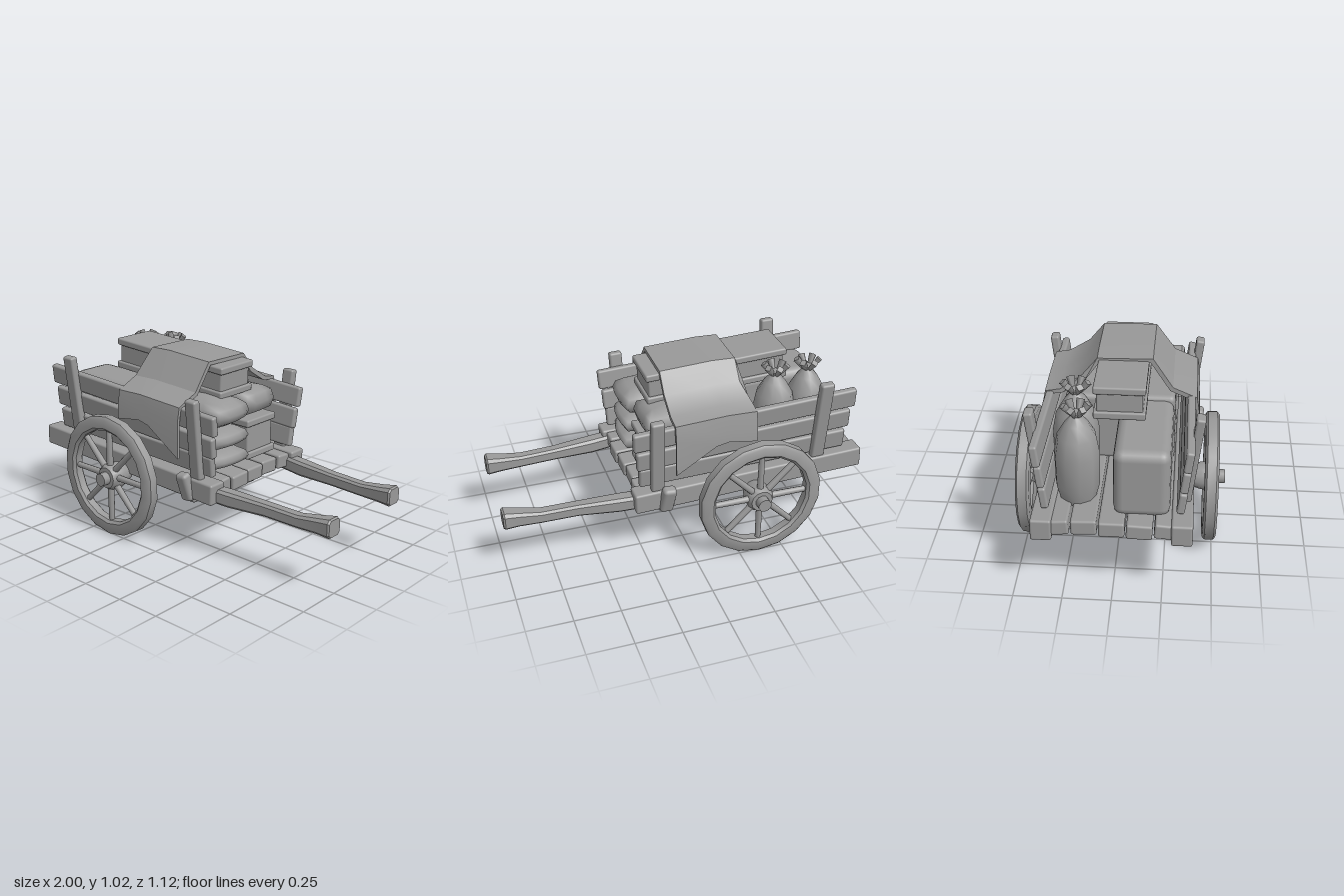
import * as THREE from 'three';
import { toCreasedNormals } from 'three/addons/utils/BufferGeometryUtils.js';
import { RoundedBoxGeometry } from 'three/addons/geometries/RoundedBoxGeometry.js';

const clay = new THREE.MeshStandardMaterial({ color: 0x999999 });
clay.name = 'plain grey';

export function createModel() {
  const cart = new THREE.Group();
  cart.name = 'handcart';

  function add(name, geometry, position = [0, 0, 0], rotation = [0, 0, 0], parent = cart) {
    const mesh = new THREE.Mesh(geometry, clay);
    mesh.name = name;
    mesh.position.set(...position);
    mesh.rotation.set(...rotation);
    parent.add(mesh);
    return mesh;
  }

  // Box with softened edges
  const block = (name, size, position, rotation, r = 0.012, parent = cart) =>
    add(name, new RoundedBoxGeometry(...size, 2, Math.min(r, Math.min(...size) / 2.1)), position, rotation, parent);

  // Skin over rings of points that follow one another along +x
  function loft(rings, crease = 0.6) {
    const n = rings[0].length;
    const points = [];
    const index = [];
    rings.forEach((ring) => ring.forEach((p) => points.push(...p)));
    for (let s = 0; s < rings.length - 1; s++) {
      for (let i = 0; i < n; i++) {
        const a = s * n + i, b = s * n + (i + 1) % n, c = a + n, d = b + n;
        index.push(a, c, b, b, c, d);
      }
    }
    const last = (rings.length - 1) * n;
    for (let i = 0; i < n / 2 - 1; i++) {
      const j = n - 1 - i;
      index.push(i, i + 1, j - 1, i, j - 1, j);
      index.push(last + i, last + j - 1, last + i + 1, last + i, last + j, last + j - 1);
    }
    const g = new THREE.BufferGeometry();
    g.setAttribute('position', new THREE.Float32BufferAttribute(points, 3));
    g.setIndex(index);
    return toCreasedNormals(g, crease);
  }

  // Stuffed sack: a sphere squared off in plan, with a thin seam round the middle
  function pillow(size, square, seam) {
    const g = new THREE.SphereGeometry(1, 16, 8);
    const p = g.attributes.position;
    for (let i = 0; i < p.count; i++) {
      const x = p.getX(i), y = p.getY(i), z = p.getZ(i);
      const r = Math.hypot(x, z) || 1;
      const k = Math.pow(Math.max(Math.abs(x), Math.abs(z)) / r || 1, -square);
      const h = Math.sign(y) * Math.pow(Math.abs(y), seam);
      p.setXYZ(i, x * k * size[0] / 2, h * size[1] / 2, z * k * size[2] / 2);
    }
    g.computeVertexNormals();
    return g;
  }

  // Deck planks, sloping slightly down to the front
  const slope = -0.038;
  for (let i = -2; i <= 2; i++) {
    block('deckPlank', [1.27 + 0.02 * (i % 2), 0.08, 0.128], [-0.35, 0.405, i * 0.135], [0.04 * i, 0, slope]);
  }
  block('axleBeam', [0.09, 0.07, 0.68], [-0.36, 0.345, 0]);

  for (const s of [-1, 1]) {
    // Chassis rail and shaped pulling handle
    block('sideRail', [1.31, 0.115, 0.105], [-0.345, 0.397, s * 0.342], [0, 0, slope]);
    const stations = [[0.2, 0.36, 0.325, 0.04], [0.38, 0.352, 0.305, 0.042], [0.6, 0.35, 0.285, 0.034],
      [0.8, 0.345, 0.278, 0.034], [0.92, 0.355, 0.27, 0.042], [0.99, 0.36, 0.268, 0.05], [1.0, 0.36, 0.268, 0.044]];
    add('handle', loft(stations.map(([x, y, z, h]) => {
      const b = h * 0.65;
      z *= s;
      return [[x, y - b, z + h], [x, y + b, z + h], [x, y + h, z + b], [x, y + h, z - b],
        [x, y + b, z - h], [x, y - b, z - h], [x, y - h, z - b], [x, y - h, z + b]];
    })));

    // Three leaning side boards
    [[0.525, 1.18, 0.335, 0.115, -0.03], [0.645, 1.21, 0.347, 0.115, -0.05], [0.772, 1.25, 0.36, 0.112, -0.053]]
      .forEach(([y, length, z, h, tilt]) =>
        block('sideBoard', [length, h, 0.04], [-0.315, y, s * z], [s * 0.13, 0, tilt]));

    // Posts holding the boards
    block('rearPost', [0.075, 0.52, 0.046], [-0.74, 0.685, s * 0.384], [s * 0.12, 0, 0]);
    block('frontPost', [0.072, 0.46, 0.046], [0.185, 0.645, s * 0.38], [s * 0.12, 0, -0.03]);
    block('crossBarEnd', [0.075, 0.16, 0.06], [0.135, 0.385, s * 0.397], [s * 0.25, 0, 0.1], 0.02);
  }
  block('frontCrossBar', [0.075, 0.05, 0.76], [0.14, 0.315, 0], [0, 0, 0], 0.018);

  // Axle and wheels
  add('axle', new THREE.CylinderGeometry(0.037, 0.037, 1.12, 10), [-0.36, 0.338, 0], [Math.PI / 2, 0, 0]);
  const lathe = (profile, sides) =>
    toCreasedNormals(new THREE.LatheGeometry(profile.map(([r, y]) => new THREE.Vector2(r, y)), sides), 0.7);
  const rim = lathe([[0.265, -0.022], [0.28, -0.036], [0.33, -0.036], [0.345, -0.024], [0.345, 0.024],
    [0.33, 0.036], [0.28, 0.036], [0.265, 0.022], [0.265, -0.022]], 18);
  const hub = lathe([[0.0, -0.12], [0.05, -0.12], [0.075, -0.05], [0.075, 0.01], [0.06, 0.035], [0.0, 0.035]], 12);
  for (const s of [-1, 1]) {
    const wheel = new THREE.Group();
    wheel.name = s > 0 ? 'leftWheel' : 'rightWheel';
    wheel.position.set(-0.36, 0.345, s * 0.482);
    cart.add(wheel);
    add('rim', rim, [0, 0, 0], [Math.PI / 2, 0, 0], wheel);
    add('hub', hub, [0, -0.007, 0], [s * Math.PI / 2, 0, 0], wheel);
    for (let i = 0; i < 8; i++) {
      const a = i * Math.PI / 4;
      add('spoke', new THREE.CylinderGeometry(0.016, 0.019, 0.23, 8),
        [-Math.sin(a) * 0.165, Math.cos(a) * 0.165, 0], [0, 0, a], wheel);
    }
  }

  // Bulky cargo at the back and under the cloth
  block('rearBale', [0.56, 0.37, 0.28], [-0.61, 0.62, 0.14], [0, 0, -0.02], 0.05);
  block('middleBale', [0.38, 0.39, 0.57], [-0.18, 0.625, 0], [0, 0, 0], 0.03);

  // Crates with overhanging base and lid
  function crate(name, length, height, width, position, tilt) {
    const g = new THREE.Group();
    g.name = name;
    g.position.set(...position);
    g.rotation.z = tilt;
    cart.add(g);
    block('crateBody', [length - 0.03, height - 0.06, width - 0.03], [0, 0, 0], [0, 0, 0], 0.01, g);
    for (const s of [-1, 1]) {
      block('crateLid', [length, 0.04, width], [0, s * (height / 2 - 0.02), 0], [0, 0, 0], 0.01, g);
    }
  }
  crate('topCrate', 0.8, 0.175, 0.26, [-0.24, 0.913, 0.015], -0.05);
  crate('frontCrate', 0.4, 0.225, 0.24, [0.02, 0.552, -0.127], 0);

  // Sacks stacked at the front
  [[0.49, 0.12, 0.3, 0.145], [0.603, 0.13, 0.28, 0.143], [0.74, 0.17, 0.28, 0.142]].forEach(([y, h, w, z], i) =>
    add('flatSack', pillow([0.42, h, w], 0.75, 0.85), [0.05, y, z], [0, 0.06 * (i - 1), 0]));
  add('plumpSack', pillow([0.4, 0.165, 0.245], 0.9, 0.5), [0.01, 0.743, -0.13], [0, 0.05, 0]);

  // Tied sacks standing at the back
  const sackBody = lathe([[0, 0.44], [0.09, 0.45], [0.115, 0.55], [0.118, 0.72], [0.1, 0.82], [0.06, 0.89],
    [0.026, 0.93], [0.034, 0.95], [0, 0.955]], 10);
  for (const [x, z, lift, scale] of [[-0.73, -0.185, -0.01, 0.98], [-0.53, -0.21, 0, 1]]) {
    const sack = new THREE.Group();
    sack.name = 'tiedSack';
    sack.position.set(x, lift, z);
    sack.scale.set(scale, 1, scale);
    cart.add(sack);
    add('sackBody', sackBody, [0, 0, 0], [0, x, 0], sack);
    for (let i = 0; i < 6; i++) {
      const a = i * Math.PI / 3 + x;
      const fold = add('sackFold', new THREE.CylinderGeometry(0.022, 0.008, 0.09, 4),
        [Math.cos(a) * 0.036, 0.953, Math.sin(a) * 0.036], [0, 0, 0], sack);
      fold.rotation.set(Math.sin(a) * 0.65, 0, -Math.cos(a) * 0.65);
    }
  }

  // Thick cloth draped across the load and over both sides
  const drape = [[-0.36, 0.66, 0], [-0.2, 0.685, 0.004], [-0.13, 0.67, 0], [0.09, 0.53, -0.012]];
  const cloth = drape.map(([x, hem, dy]) => {
    const top = x < -0.3 ? x + 0.03 : x;
    const outer = [[0.412, hem], [0.408, 0.74], [0.395, 0.82], [0.27, 0.875], [0.165, 1.02],
      [-0.12, 1.015], [-0.2, 0.915], [-0.31, 0.845], [-0.39, 0.83], [-0.408, 0.74], [-0.412, hem]];
    const inner = outer.map(([z, y], i) =>
      [z - Math.sign(z) * 0.014, i === 0 || i === outer.length - 1 ? y : y - 0.02]).reverse();
    return [...outer, ...inner].map(([z, y]) => [y > 0.9 ? top : x, y > 0.8 ? y + dy : y, z]);
  });
  add('cloth', loft(cloth, 0.5));

  return cart;
}
